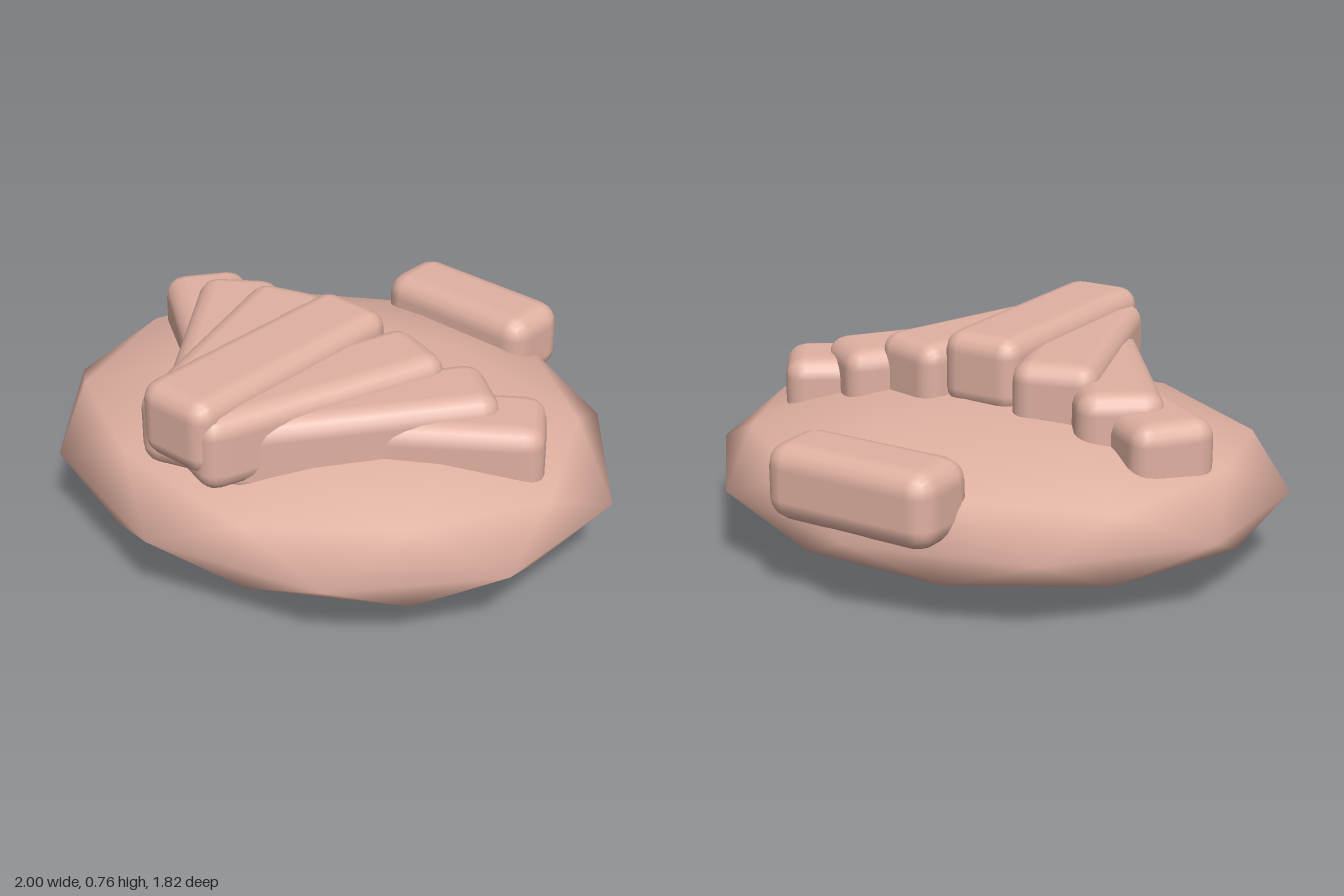
import * as THREE from 'three';
import { mergeVertices } from 'three/addons/utils/BufferGeometryUtils.js';
import { RoundedBoxGeometry } from 'three/addons/geometries/RoundedBoxGeometry.js';

const skin = new THREE.MeshStandardMaterial({ color: 0xdfb0a1 });
skin.name = 'dusty pink';

export function createModel() {
  const model = new THREE.Group();
  model.name = 'model';

  const add = (name, geometry, parent = model) => {
    const mesh = new THREE.Mesh(geometry, skin);
    mesh.name = name;
    parent.add(mesh);
    return mesh;
  };

  // Flattened low-poly ball, turned so that one corner points straight up
  let ball = new THREE.IcosahedronGeometry(1, 1);
  ball.deleteAttribute('normal');
  ball.deleteAttribute('uv');
  ball = mergeVertices(ball, 1e-3);
  ball.rotateZ(-Math.atan(2 / (1 + Math.sqrt(5))));
  ball.scale(1.05, 0.273, 0.91);
  ball.computeVertexNormals();
  add('body', ball).position.y = 0.273;

  // Fan of seven rounded bars, stepping down to either side
  const fan = new THREE.Group();
  fan.name = 'fan';
  model.add(fan);
  const bar = new RoundedBoxGeometry(0.3, 0.27, 0.92, 2, 0.07);
  for (let i = -3; i <= 3; i++) {
    const angle = i * Math.PI / 10;
    const name = i === 0 ? 'centreBar' : (i > 0 ? 'leftBar' : 'rightBar') + Math.abs(i);
    const mesh = add(name, bar, fan);
    mesh.position.set(
      0.525 * Math.sin(angle),
      0.63 - 0.055 * Math.abs(i),
      -0.2 + 0.525 * Math.cos(angle)
    );
    mesh.rotation.y = -angle;
  }

  // Crosswise bar on the back rim
  add('rearBar', new RoundedBoxGeometry(0.645, 0.265, 0.275, 2, 0.08))
    .position.set(0, 0.422, -0.777);

  return model;
}
